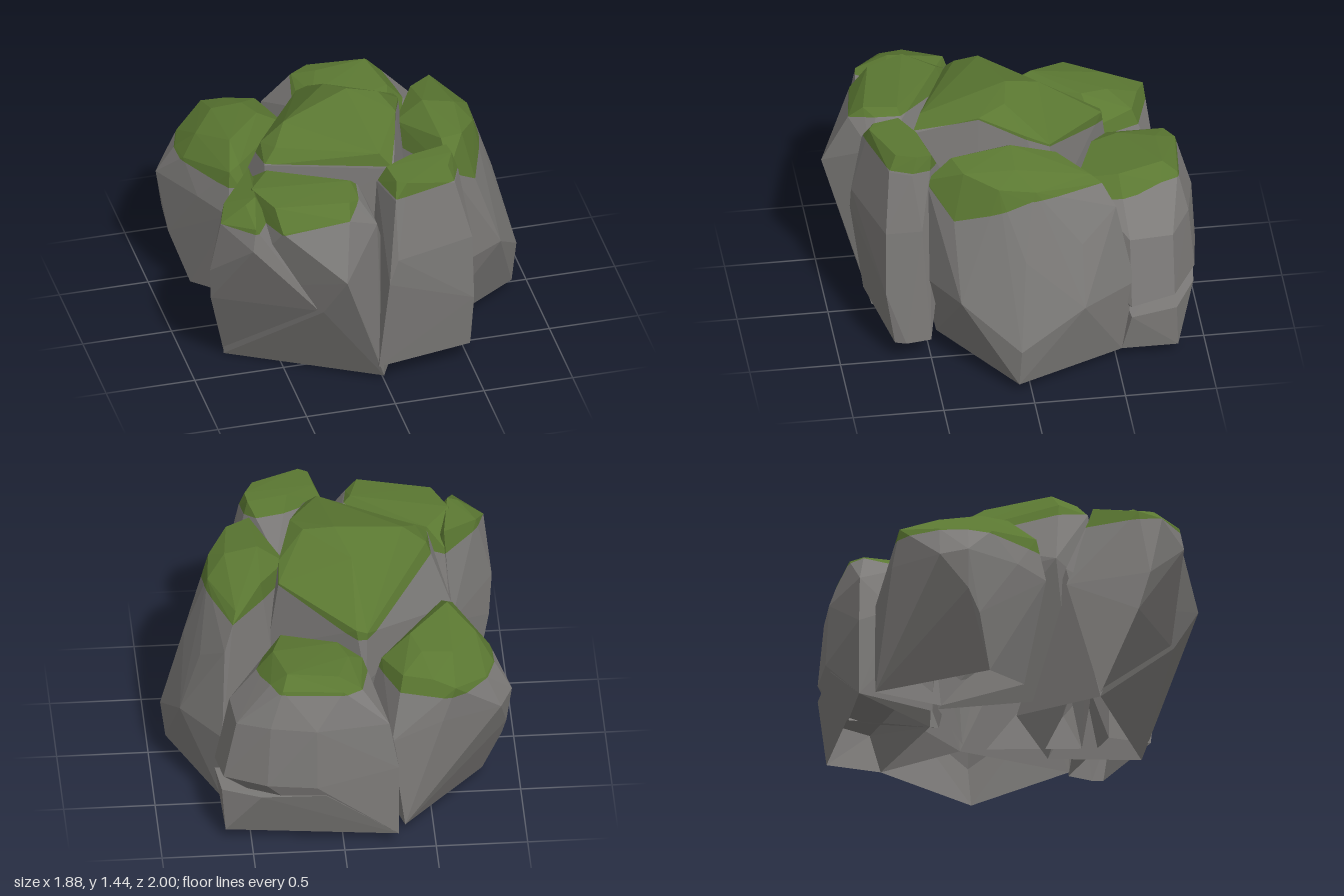
import * as THREE from 'three';
import { ConvexGeometry } from 'three/addons/geometries/ConvexGeometry.js';

const stone = new THREE.MeshStandardMaterial({ color: 0x7d7b79, side: THREE.DoubleSide });
stone.name = 'stone grey';
const moss = new THREE.MeshStandardMaterial({ color: 0x5b7832 });
moss.name = 'moss green';

// Keep the part of a triangle soup where side(p) >= 0, leaving the underside open
function clip(geometry, side) {
  const pos = geometry.getAttribute('position');
  const normal = geometry.getAttribute('normal');
  const out = [];
  for (let i = 0; i < pos.count; i += 3) {
    const tri = [0, 1, 2].map(k => new THREE.Vector3().fromBufferAttribute(pos, i + k));
    if (normal.getY(i) < -0.7 && tri.every(p => p.y < 0.2)) continue;
    const poly = [];
    tri.forEach((p, k) => {
      const q = tri[(k + 1) % 3];
      const dp = side(p), dq = side(q);
      if (dp >= 0) poly.push(p);
      if (dp * dq < 0) poly.push(p.clone().lerp(q, dp / (dp - dq)));
    });
    for (let k = 1; k + 1 < poly.length; k++) {
      for (const v of [poly[0], poly[k], poly[k + 1]]) out.push(v.x, v.y, v.z);
    }
  }
  const g = new THREE.BufferGeometry();
  g.setAttribute('position', new THREE.Float32BufferAttribute(out, 3));
  g.computeVertexNormals();
  return g;
}

// Faceted boulder, mossy above the height mossLine(x, z)
function boulder(name, points, mossLine) {
  const hull = new ConvexGeometry(points.map(p => new THREE.Vector3(...p)));
  const above = p => p.y - mossLine(p.x, p.z);
  const group = new THREE.Group();
  group.name = name;
  const parts = [['Stone', stone, p => -above(p)], ['Moss', moss, above]];
  for (const [suffix, material, side] of parts) {
    const g = clip(hull, side);
    if (g.getAttribute('position').count === 0) continue;
    const mesh = new THREE.Mesh(g, material);
    mesh.name = name + suffix;
    group.add(mesh);
  }
  return group;
}

export function createModel() {
  const model = new THREE.Group();
  model.name = 'mossyRockCluster';

  // Tall boulder in the middle, bare on its steep left side
  model.add(boulder('centreBoulder', [
    [-0.02, 1.44, 0.02], [-0.4, 1.35, 0.12], [0.15, 1.41, 0.05], [-0.1, 1.36, -0.17], [0.21, 1.37, 0.2],
    [-0.53, 1.24, 0.12], [-0.55, 1.19, 0.28], [-0.48, 1.27, 0.24], [0.04, 1.31, 0.5], [0.11, 1.23, 0.55],
    [0.29, 1.28, -0.05], [0.3, 1.22, -0.18], [-0.1, 1.12, -0.52], [-0.16, 1.1, -0.52],
    [-0.67, 0.85, 0.06], [-0.55, 0.75, 0.3], [0.12, 0.8, 0.57], [0.36, 0.8, -0.18], [-0.15, 0.8, -0.56],
    [0.3, 0.7, 0.22], [-0.5, 0.1, 0.2], [0.1, 0.1, 0.45], [0.3, 0.1, -0.15], [-0.15, 0.1, -0.45],
  ], (x, z) => Math.max(1.15 + 0.17 * z, x > 0.1 ? 1.36 - 0.4 * Math.abs(z - 0.2) : 0)));

  // Wide front boulder, split by a crack into two lobes
  model.add(boulder('frontRightBoulder', [
    [-0.68, 1.2, 0.5], [-0.6, 1.19, 0.7], [-0.58, 1.08, 0.8], [-0.15, 1.23, 0.6], [-0.2, 1.21, 0.78],
    [-0.22, 1.14, 0.86], [-0.1, 1.18, 0.58], [-0.13, 1.18, 0.72], [-0.55, 1.19, 0.33], [-0.64, 1.1, 0.25],
    [-0.27, 0.83, 1.0], [-0.04, 1.04, 0.56], [-0.04, 1.03, 0.76], [-0.36, 0.55, 0.83],
    [-0.66, 0.8, 0.12], [-0.8, 0.55, 0.45], [-0.78, 0.0, 0.28], [-0.03, 0.15, 0.79], [0, 0.03, 0.76],
    [0.24, 0.08, 0.3], [-0.3, 0.05, -0.05],
  ], x => Math.max(1.07, 1.07 + 0.5 * (x + 0.36))));
  model.add(boulder('frontRightLobe', [
    [-0.88, 1.07, 0.6], [-0.83, 1.12, 0.48], [-0.72, 1.1, 0.75], [-0.68, 1.2, 0.58], [-0.74, 1.17, 0.6],
    [-0.64, 1.19, 0.28], [-0.87, 0.95, 0.6], [-0.74, 0.97, 0.77], [-0.92, 0.72, 0.52],
    [-0.67, 0.7, 0.12], [-0.38, 0.55, 0.81], [-0.9, 0.5, 0.46], [-0.78, 0.02, 0.28], [-0.4, 0.1, 0.5],
  ], () => 1.07));

  // Narrow upright boulder at the front
  model.add(boulder('frontLeftBoulder', [
    [0.05, 1.3, 0.62], [0.07, 1.29, 0.76], [0.2, 1.3, 0.54], [0.42, 1.3, 0.49], [0.43, 1.3, 0.57],
    [0.38, 1.29, 0.68], [0.12, 1.29, 0.79], [0, 1.2, 0.6], [0.05, 1.2, 0.82], [0.44, 1.2, 0.5],
    [0.46, 1.2, 0.6], [0.41, 1.2, 0.72], [0.05, 0.85, 0.88], [0.5, 0.85, 0.75], [0.5, 0.85, 0.55],
    [0.51, 0.45, 0.75], [-0.02, 0.7, 0.57], [0, 0.7, 0.88], [-0.04, 0.12, 0.8], [0.52, 0.12, 0.64],
    [0.5, 0.12, 0.7], [0.5, 0.12, 0.5], [-0.04, 0.12, 0.56], [0.27, 1.0, 0.37],
  ], () => 1.21));

  // Broad boulder on the left flank, its moss dipping to a point at the front corner
  model.add(boulder('leftBoulder', [
    [0.4, 1.31, 0.05], [0.58, 1.27, 0.05], [0.42, 1.27, 0.38], [0.55, 1.25, 0.33], [0.43, 1.14, 0.52],
    [0.66, 1.2, 0.15], [0.68, 1.18, -0.05], [0.7, 1.12, -0.03], [0.61, 0.98, 0.39], [0.25, 1.2, 0.05],
    [0.4, 1.24, -0.2], [0.55, 1.18, -0.37], [0.57, 1.13, -0.43], [0.62, 1.0, -0.5],
    [0.8, 0.8, 0.02], [0.74, 0.85, -0.3], [0.85, 0.5, -0.3], [0.64, 0.5, -0.6], [0.76, 0.53, 0.37],
    [0.42, 0.5, 0.54], [0.93, 0.29, 0.06], [0.9, 0.06, 0.07], [0.64, 0.06, -0.53],
    [0.33, 0.06, 0.45], [0.25, 0.06, -0.2], [0.2, 0.75, 0.1], [0.26, 0.65, 0.42],
  ], (x, z) => Math.max(0.53 + 1.15 * z, Math.min(1.13, 1.12 - 0.36 * z))));

  // Back boulder, with a wedge-shaped crevice above its foot on one side
  model.add(boulder('backLeftBoulder', [
    [-0.05, 1.01, -0.6], [0.02, 1.02, -0.8], [0.3, 1.05, -0.8], [0.36, 1.03, -0.55], [0.3, 0.98, -0.33],
    [0, 1.0, -0.45], [-0.1, 0.98, -0.86], [0, 0.99, -0.91], [0.33, 0.99, -0.88], [0.39, 0.97, -0.78],
    [-0.13, 0.96, -0.55], [0.4, 0.94, -0.5], [-0.25, 0.78, -0.93], [0.15, 0.78, -0.98], [0.4, 0.78, -0.93],
    [0.58, 0.75, -0.82], [0.6, 0.75, -0.58], [-0.3, 0.5, -0.95], [0.15, 0.42, -1.0], [0.42, 0.42, -0.96],
    [0.65, 0.4, -0.82], [0.68, 0.36, -0.58], [-0.28, 0.6, -0.75], [-0.24, 0.6, -0.5],
    [0, 0.6, -0.35], [0.3, 0.6, -0.22],
    [-0.3, 0.06, -0.95], [-0.2, 0.06, -0.5], [0.05, 0.06, -0.9], [0, 0.06, -0.4],
  ], (x, z) => Math.max(0.88, Math.min(0.97, 0.97 - 0.8 * (z + 0.62)))));
  model.add(boulder('backLeftFoot', [
    [0.1, 0.36, -0.99], [0.45, 0.34, -0.95], [0.66, 0.32, -0.83], [0.68, 0.29, -0.58],
    [-0.2, 0.3, -0.5], [-0.29, 0.3, -0.94], [-0.3, 0.06, -0.95], [0.64, 0.06, -0.84],
    [0.64, 0.06, -0.53], [0, 0.06, -0.45],
  ], () => 2));

  // Back boulder on the right flank
  model.add(boulder('backRightBoulder', [
    [-0.62, 1.01, -0.6], [-0.45, 1.02, -0.6], [-0.4, 1.04, -0.45], [-0.62, 1.06, -0.2], [-0.76, 1.0, -0.4],
    [-0.62, 0.92, -0.82], [-0.5, 0.95, -0.77], [-0.34, 0.95, -0.72], [-0.24, 0.92, -0.5], [-0.6, 0.98, -0.07],
    [-0.66, 0.95, -0.05], [-0.84, 0.88, -0.36], [-0.85, 0.87, -0.5], [-0.8, 0.87, -0.65],
    [-0.95, 0.7, -0.53], [-0.88, 0.68, -0.67], [-0.55, 0.72, -0.84], [-0.27, 0.6, -0.85],
    [-0.8, 0.72, -0.2], [-0.68, 0.7, 0], [-0.52, 0.7, 0.03], [-0.92, 0.48, -0.52], [-0.9, 0.35, -0.45],
    [-0.8, 0.06, -0.36], [-0.34, 0.06, -0.87], [-0.15, 0.6, -0.48], [-0.42, 0.6, -0.03],
    [-0.2, 0.1, -0.45], [-0.6, 0.1, -0.1],
  ], () => 0.86));

  return model;
}
